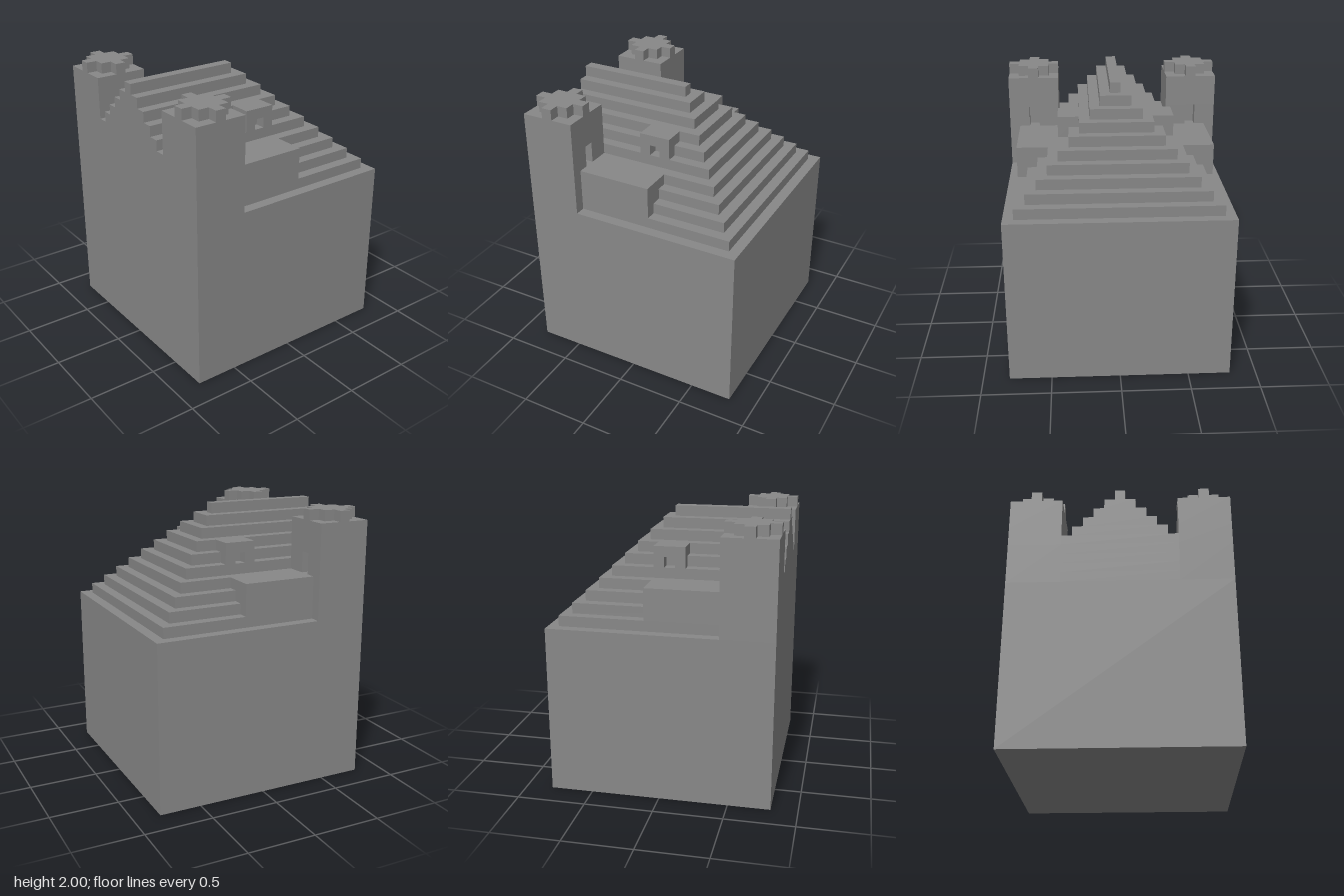
import * as THREE from 'three';
import { mergeGeometries } from 'three/addons/utils/BufferGeometryUtils.js';

// The model sits on a block grid: 21 x 26 x 21 blocks
const U = 2 / 26;

// Box from opposite corners, in blocks
function block(x0, x1, y0, y1, z0, z1) {
  const g = new THREE.BoxGeometry((x1 - x0) * U, (y1 - y0) * U, (z1 - z0) * U);
  return g.translate((x0 + x1) / 2 * U, (y0 + y1) / 2 * U, (z0 + z1) / 2 * U);
}

// Same box mirrored to the given side (1 = left, -1 = right)
function sideBlock(side, x0, x1, ...rest) {
  return side > 0 ? block(x0, x1, ...rest) : block(-x1, -x0, ...rest);
}

export function createModel() {
  const group = new THREE.Group();
  const stone = new THREE.MeshStandardMaterial({ color: 0x888888 });
  stone.name = 'stone grey';

  const add = (name, blocks) => {
    const mesh = new THREE.Mesh(mergeGeometries(blocks), stone);
    mesh.name = name;
    group.add(mesh);
  };

  // Main block
  add('mainBody', [block(-10.5, 10.5, 0, 16, -10.5, 10.5)]);

  // Stepped roof: hipped at the back, gabled at the front between the towers
  const roof = [];
  for (let y = 16; y < 26; y++) {
    const h = 25.5 - y;
    if (h > 5.5) {
      roof.push(block(-h, h, y, y + 1, -h, 5.5));
      roof.push(block(-5.5, 5.5, y, y + 1, 5.5, 10.5));
    } else {
      roof.push(block(-h, h, y, y + 1, -h, 10.5));
    }
  }
  add('steppedRoof', roof);

  for (const side of [1, -1]) {
    const label = side > 0 ? 'left' : 'right';
    const b = (...c) => sideBlock(side, ...c);

    // Flat-topped annex behind the tower, filling out the roof steps
    const annex = [];
    for (let y = 17; y < 20; y++) annex.push(b(25.5 - y, 9.5, y, y + 1, -1.5, 5.5));
    add(label + 'Annex', annex);

    // Dormer with a square window recess
    add(label + 'Dormer', [
      b(4.5, 5.5, 21, 22, -1.5, -0.5),
      b(4.5, 5.5, 21, 22, 0.5, 1.5),
      b(3.5, 5.5, 22, 23, -1.5, 1.5),
    ]);

    // Tower with a doorway recess at the back, above the annex
    add(label + 'Tower', [
      b(5.5, 10.5, 16, 20, 5.5, 10.5),
      b(5.5, 10.5, 20, 22, 6.5, 10.5),
      b(5.5, 7.5, 20, 22, 5.5, 6.5),
      b(8.5, 10.5, 20, 22, 5.5, 6.5),
      b(5.5, 10.5, 22, 25, 5.5, 10.5),
    ]);

    // Diamond-shaped crown on the tower
    const crown = [];
    for (let i = -2; i <= 2; i++) {
      const w = 2.5 - Math.abs(i);
      crown.push(b(8 - w, 8 + w, 25, 26, 7.5 + i, 8.5 + i));
    }
    add(label + 'TowerCrown', crown);
  }
  return group;
}
